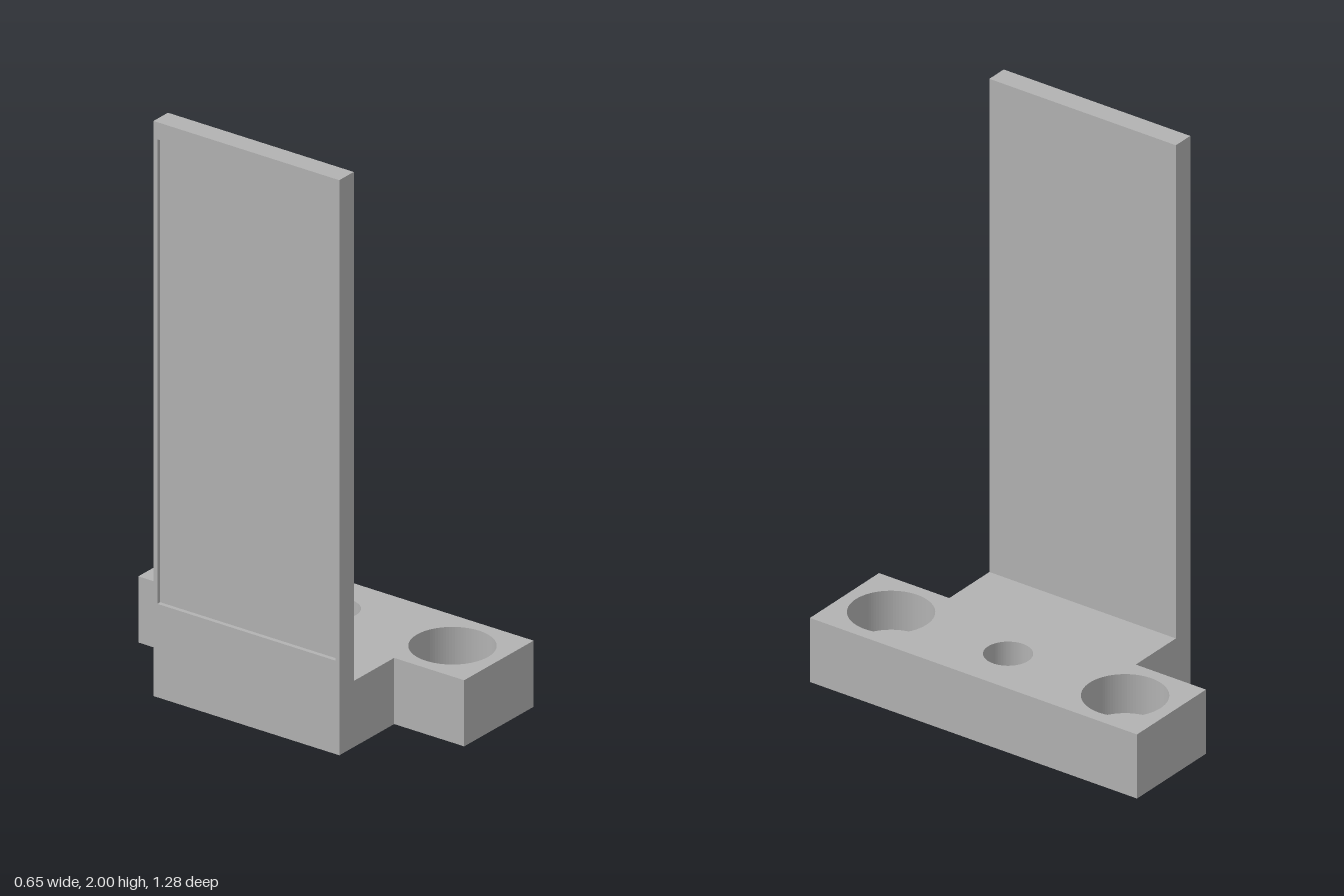
import * as THREE from 'three';

const grey = new THREE.MeshStandardMaterial({ color: 0xb2b2b2 });
grey.name = 'plain grey';

const SMALL = 0.079, LARGE = 0.139; // bore and counterbore radii
const HOLE_X = 0.142, HOLE_Z = 0.458;
const BASE_H = 0.23, BORE_DEPTH = 0.14;

function outline(points) {
  return new THREE.Shape(points.map(([x, y]) => new THREE.Vector2(x, y)));
}

function rect(x0, y0, x1, y1) {
  return [[x0, y0], [x1, y0], [x1, y1], [x0, y1]];
}

function extrude(shape, depth) {
  return new THREE.ExtrudeGeometry(shape, { depth, bevelEnabled: false, curveSegments: 48 });
}

function addMesh(group, name, geometry) {
  const mesh = new THREE.Mesh(geometry, grey);
  mesh.name = name;
  group.add(mesh);
  return mesh;
}

// T-shaped slab between two heights, with end and middle holes
function baseLayer(y0, y1, endRadius, middleRadius) {
  const shape = outline([
    [-0.328, -0.365], [-0.04, -0.365], [-0.04, -0.64], [0.325, -0.64],
    [0.325, 0.64], [-0.04, 0.64], [-0.04, 0.365], [-0.328, 0.365],
  ]);
  for (const [z, r] of [[-HOLE_Z, endRadius], [0, middleRadius], [HOLE_Z, endRadius]]) {
    shape.holes.push(new THREE.Path().absarc(HOLE_X, z, r, 0, Math.PI * 2, true));
  }
  return extrude(shape, y1 - y0).rotateX(-Math.PI / 2).translate(0, y0, 0);
}

export function createModel() {
  const model = new THREE.Group();
  model.name = 'mountingBracket';

  // Base: end holes are counterbored from above, the middle one from below
  const base = new THREE.Group();
  base.name = 'base';
  const low = BASE_H - BORE_DEPTH;
  addMesh(base, 'baseBottom', baseLayer(0, low, SMALL, LARGE));
  addMesh(base, 'baseMiddle', baseLayer(low, BORE_DEPTH, LARGE, LARGE));
  addMesh(base, 'baseTop', baseLayer(BORE_DEPTH, BASE_H, LARGE, SMALL));
  model.add(base);

  // Upright plate with a shallow rectangular recess on its outer face
  const recess = 0.015;
  const x0 = -0.328, x1 = -0.252;
  const upright = new THREE.Group();
  upright.name = 'upright';
  const height = 2 - BASE_H;
  const plate = addMesh(upright, 'uprightPlate', new THREE.BoxGeometry(x1 - x0 - recess, height, 0.73));
  plate.position.set((x0 + recess + x1) / 2, BASE_H + height / 2, 0);

  const frame = outline(rect(-0.365, BASE_H, 0.365, 2));
  frame.holes.push(outline(rect(-0.35, 0.325, 0.35, 1.94)));
  const rim = addMesh(upright, 'recessRim', extrude(frame, recess).rotateY(-Math.PI / 2));
  rim.position.x = x0 + recess;
  model.add(upright);

  return model;
}
